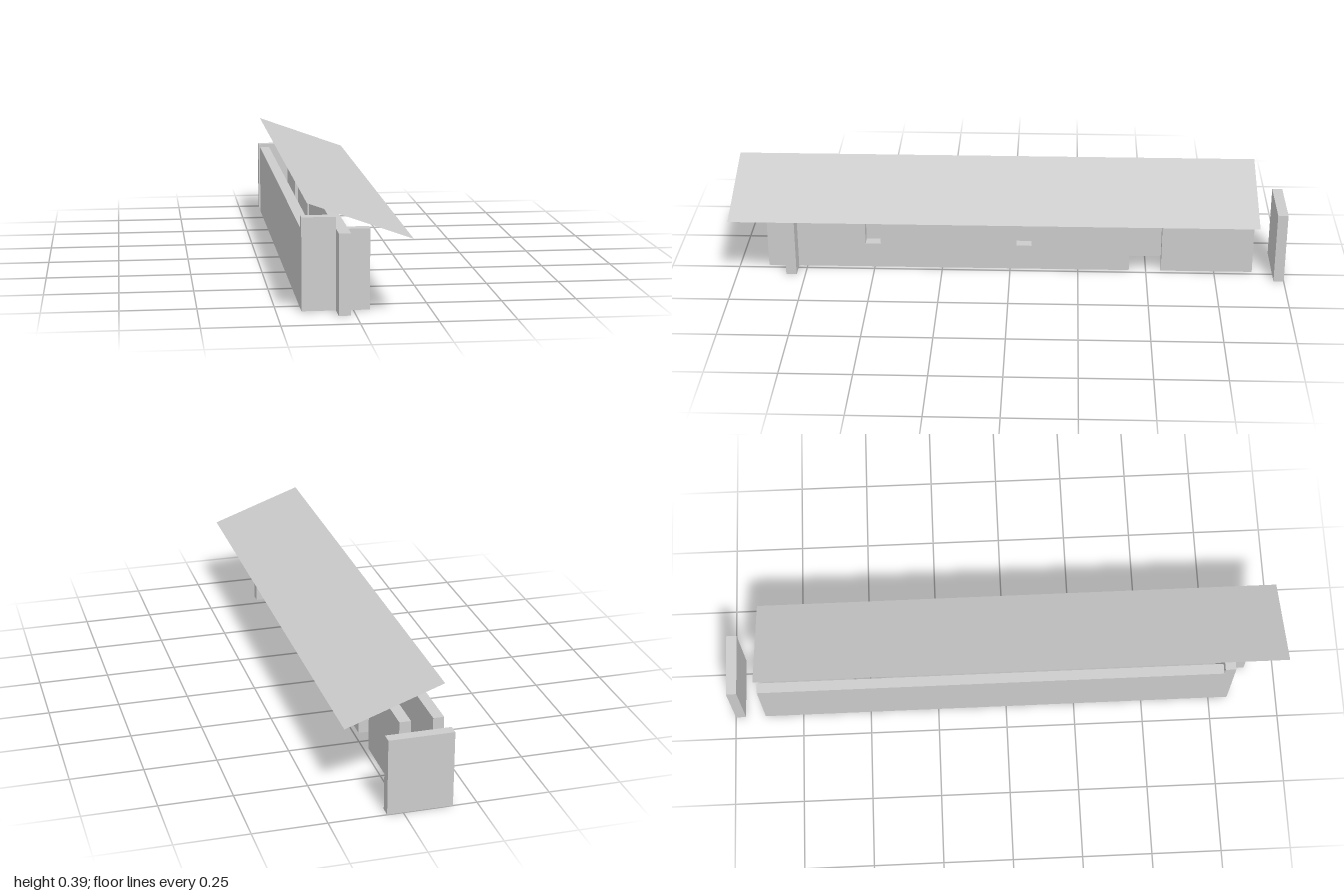
import * as THREE from 'three';

export function createModel() {
  const group = new THREE.Group();
  group.name = 'shelter';
  const material = new THREE.MeshStandardMaterial({ color: 0xcccccc, flatShading: true });
  const H = 0.267; // common wall height

  const add = (name, geometry, mat = material) => {
    const mesh = new THREE.Mesh(geometry, mat);
    mesh.name = name;
    group.add(mesh);
    return mesh;
  };

  // Wall block standing on the ground, given by its x and z ranges
  const wall = (name, x0, x1, z0, z1, h = H) =>
    add(name, new THREE.BoxGeometry(x1 - x0, h, z1 - z0))
      .position.set((x0 + x1) / 2, h / 2, (z0 + z1) / 2);

  const rect = (Type, a0, a1, b0, b1) => new Type([
    new THREE.Vector2(a0, b0), new THREE.Vector2(a1, b0),
    new THREE.Vector2(a1, b1), new THREE.Vector2(a0, b1),
  ]);

  // Long rear wall and the taller cross wall at the front end
  wall('longWall', -0.168, -0.131, -0.89, 0.782);
  wall('tallEndWall', -0.168, -0.056, 0.782, 0.82, 0.307);

  // Window wall: outline in (z, y) with two openings, extruded across x
  const outline = rect(THREE.Shape, -0.438, 0.893, 0, H);
  for (const z of [0.504, -0.051]) {
    outline.holes.push(rect(THREE.Path, z - 0.028, z + 0.028, 0.095, 0.2));
  }
  const windowWall = new THREE.ExtrudeGeometry(outline, { depth: 0.039, bevelEnabled: false });
  windowWall.rotateY(-Math.PI / 2).translate(-0.017, 0, 0);
  add('windowWall', windowWall);

  // Short wall beyond the doorway, side stub and detached back wall
  wall('shortWall', -0.056, -0.017, -0.89, -0.556);
  wall('sideStub', -0.017, 0.054, 0.782, 0.82);
  wall('detachedWall', -0.168, 0.054, -1, -0.963);

  // Thin sloping roof sheet, high at -x and low at +x
  const drop = 0.12, span = 0.334;
  const roofMaterial = material.clone();
  roofMaterial.side = THREE.DoubleSide;
  const roof = new THREE.PlaneGeometry(Math.hypot(span, drop), 1.89);
  roof.rotateX(-Math.PI / 2).rotateZ(-Math.atan2(drop, span));
  add('roof', roof, roofMaterial).position.set(-0.001, 0.327, 0.055);

  return group;
}
